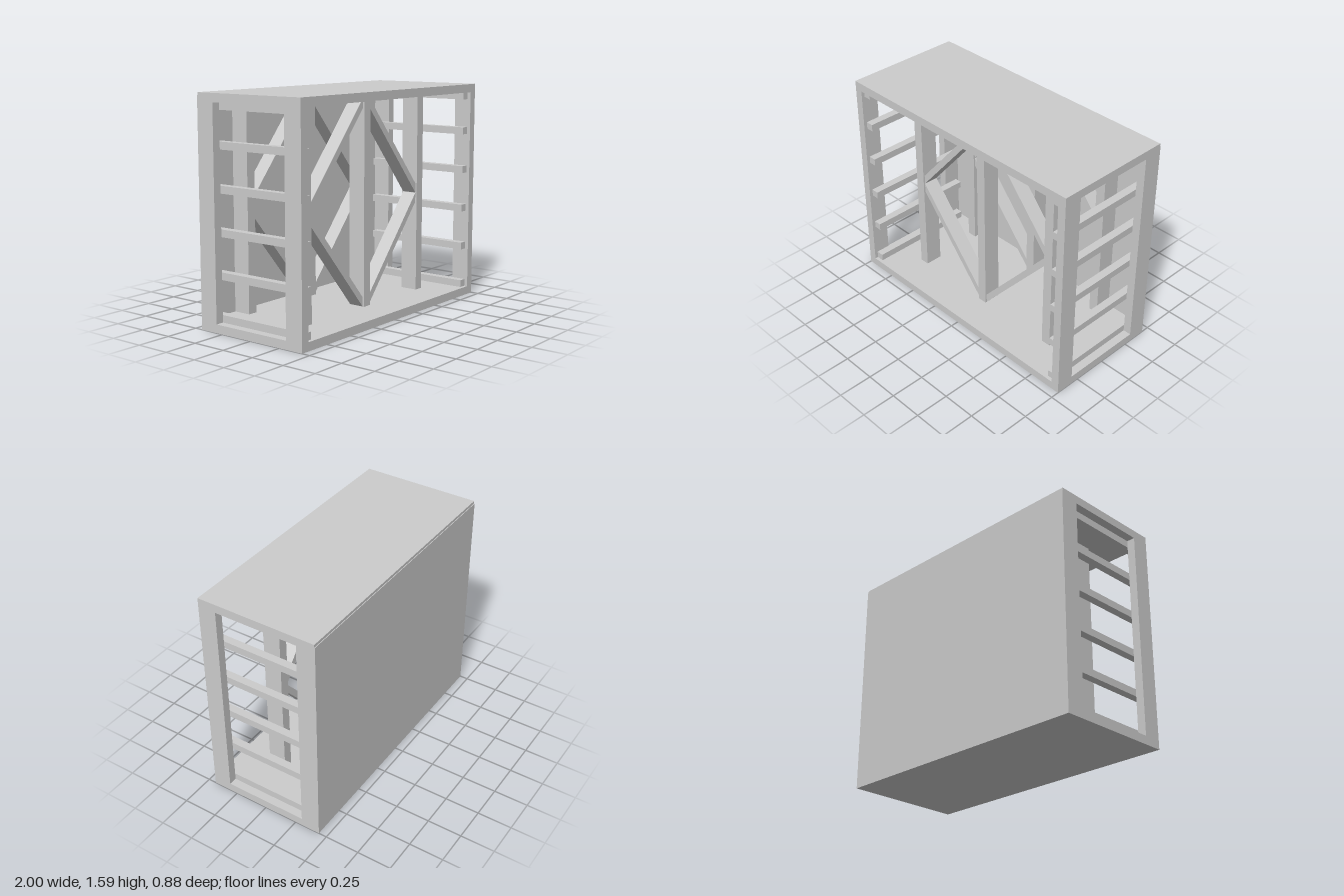
import * as THREE from 'three';

const material = new THREE.MeshStandardMaterial({ color: 0xcccccc, flatShading: true });

// Box given by its min and max on each axis
function box(name, [x0, x1], [y0, y1], [z0, z1]) {
  const mesh = new THREE.Mesh(new THREE.BoxGeometry(x1 - x0, y1 - y0, z1 - z0), material);
  mesh.position.set((x0 + x1) / 2, (y0 + y1) / 2, (z0 + z1) / 2);
  mesh.name = name;
  return mesh;
}

// Outline in the xy plane, extruded from z0 to z1
function slab(name, points, [z0, z1]) {
  const shape = new THREE.Shape(points.map(([x, y]) => new THREE.Vector2(x, y)));
  const geometry = new THREE.ExtrudeGeometry(shape, { depth: z1 - z0, bevelEnabled: false });
  const mesh = new THREE.Mesh(geometry, material);
  mesh.position.z = z0;
  mesh.name = name;
  return mesh;
}

export function createModel() {
  const model = new THREE.Group();
  model.name = 'storageRack';

  const H = 1.59, T = 0.06;           // height, board thickness
  const front = 0.44, back = -0.435;  // depth of the carcass
  const low = T, high = H - T;        // inner floor and ceiling
  const inner = 1 - T;

  // Carcass: bottom, top and thin back panel
  model.add(box('bottomBoard', [-1, 1], [0, low], [back, front]));
  model.add(box('topBoard', [-1, 1], [high, H], [back, front]));
  model.add(box('backPanel', [-1, 1], [0, 1.57], [-0.44, back]));

  // Open sides: two corner posts and a ladder of rungs each
  for (const side of [-1, 1]) {
    const span = (a, b) => [side * a, side * b].sort((p, q) => p - q);
    const ladder = new THREE.Group();
    ladder.name = side > 0 ? 'leftSide' : 'rightSide';
    ladder.add(box('frontPost', span(inner, 1), [low, high], [0.307, front]));
    ladder.add(box('backPost', span(inner, 1), [low, high], [back, -0.302]));
    for (const y of [0.06, 0.35, 0.64, 0.93, 1.22, 1.478]) {
      ladder.add(box('rung', span(0.883, inner), [y, y + 0.052], [-0.41, 0.415]));
    }
    model.add(ladder);
  }

  // Two inner trusses: three uprights and a diamond of diagonal braces
  const xIn = 0.035, xOut = 0.61, mid = H / 2, w = 0.068;
  for (const [name, z0, z1] of [['frontTruss', 0.063, 0.193], ['backTruss', back, -0.305]]) {
    const truss = new THREE.Group();
    truss.name = name;
    for (const x of [-0.645, 0, 0.645]) {
      truss.add(box('upright', [x - 0.036, x + 0.036], [low, high], [z0, z1]));
    }
    for (const sx of [-1, 1]) {
      for (const sy of [-1, 1]) {
        const points = [
          [xIn, high - mid], [xOut, w], [xOut, 0], [xIn, high - mid - w],
        ].map(([x, y]) => [sx * x, mid + sy * y]);
        truss.add(slab('brace', points, [z0 + 0.008, z1 - 0.012]));
      }
    }
    model.add(truss);
  }
  return model;
}
